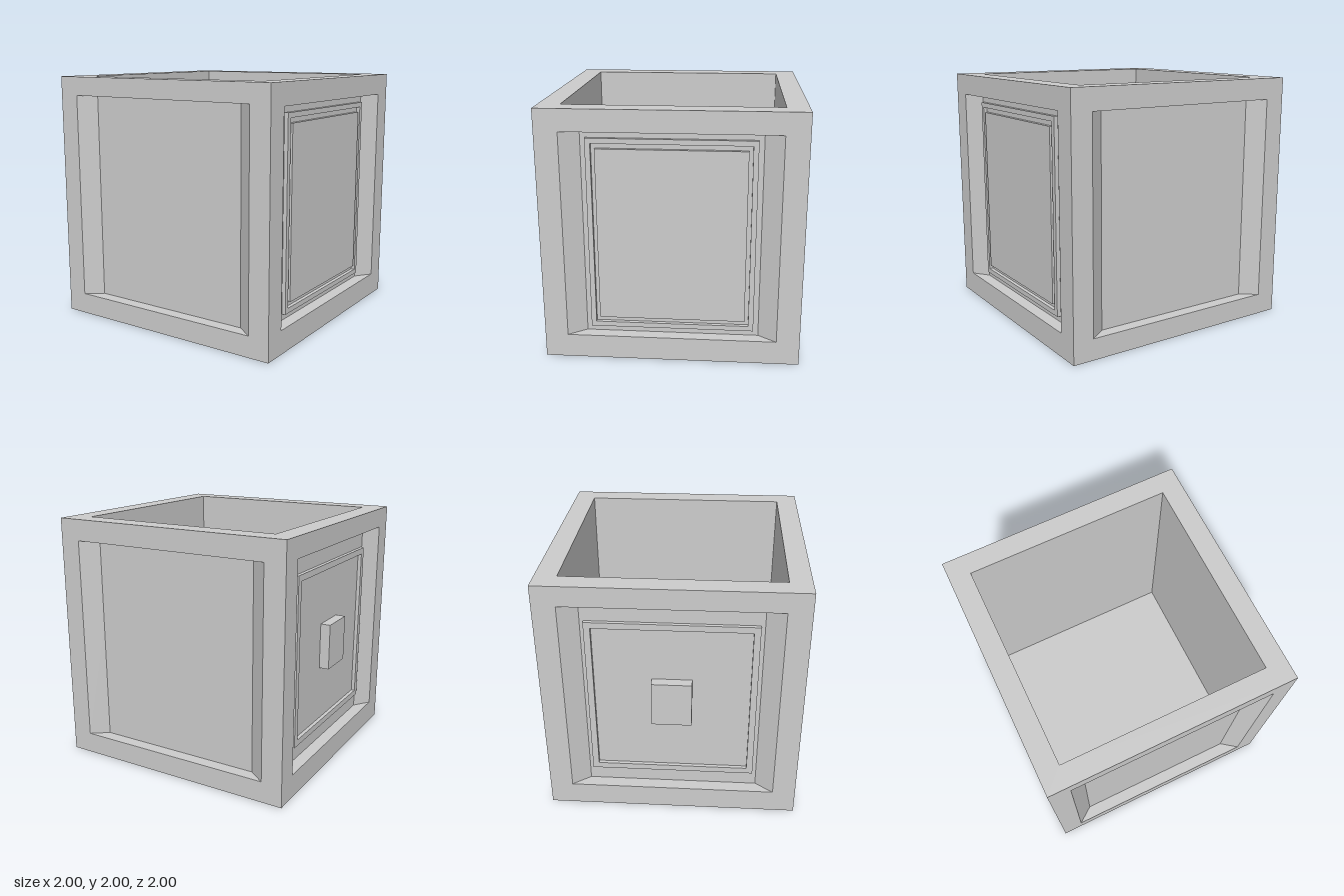
import * as THREE from 'three';

const WALL = 0.17;      // wall thickness
const RECESS = 0.1;     // depth of the sunken panels

const material = new THREE.MeshStandardMaterial({ color: 0xcccccc });

function part(parent, name, geometry) {
  const mesh = new THREE.Mesh(geometry, material);
  mesh.name = name;
  parent.add(mesh);
  return mesh;
}

function rect(Type, halfWidth, y0, y1) {
  return new Type([
    new THREE.Vector2(-halfWidth, y0), new THREE.Vector2(halfWidth, y0),
    new THREE.Vector2(halfWidth, y1), new THREE.Vector2(-halfWidth, y1),
  ]);
}

// Extrude a face from z = front back to z = back; inset(x) moves the back edges toward the middle
function slab(shape, front, back, inset = () => 0) {
  const g = new THREE.ExtrudeGeometry(shape, { depth: front - back, bevelEnabled: false });
  g.translate(0, 0, back);
  const p = g.attributes.position;
  const middle = (front + back) / 2;
  for (let i = 0; i < p.count; i++) {
    const x = p.getX(i);
    if (p.getZ(i) < middle) p.setX(i, x - Math.sign(x) * inset(Math.abs(x)));
  }
  g.computeVertexNormals();
  return g;
}

// One wall facing +z: mitred frame, splayed jambs, sunken panel
function makeWall(name, { half, inner, y0, y1 }) {
  const wall = new THREE.Group();
  wall.name = name;
  const slope = (half - inner) / RECESS;

  const frame = rect(THREE.Shape, 1, 0, 2);
  frame.holes.push(rect(THREE.Path, half, y0, y1));
  part(wall, 'frame', slab(frame, 1, 1 - WALL, x => (x > 0.95 ? WALL : slope * WALL)));

  const panel = rect(THREE.Shape, inner, y0, y1);
  part(wall, 'sunkenPanel', slab(panel, 1 - RECESS, 1 - WALL, () => slope * (WALL - RECESS)));
  return wall;
}

// Raised rectangular border on a sunken panel
function addBorder(wall, halfOuter, halfInner, yOuter, yInner) {
  const border = rect(THREE.Shape, halfOuter, yOuter[0], yOuter[1]);
  border.holes.push(rect(THREE.Path, halfInner, yInner[0], yInner[1]));
  part(wall, 'border', slab(border, 0.93, 1 - RECESS));
}

export function createModel() {
  const model = new THREE.Group();
  model.name = 'openBox';

  const front = makeWall('frontWall', { half: 0.83, inner: 0.695, y0: 0.17, y1: 1.85 });
  const back = makeWall('backWall', { half: 0.83, inner: 0.695, y0: 0.17, y1: 1.83 });
  const left = makeWall('leftWall', { half: 0.82, inner: 0.68, y0: 0.19, y1: 1.83 });
  const right = makeWall('rightWall', { half: 0.82, inner: 0.68, y0: 0.19, y1: 1.84 });
  back.rotation.y = Math.PI;
  left.rotation.y = Math.PI / 2;
  right.rotation.y = -Math.PI / 2;
  model.add(front, back, left, right);

  // Left side: border, groove and raised field
  addBorder(left, 0.64, 0.6, [0.24, 1.77], [0.28, 1.73]);
  part(left, 'raisedField', slab(rect(THREE.Shape, 0.57, 0.32, 1.69), 0.93, 1 - RECESS));

  // Right side: border with a block handle in the middle
  addBorder(right, 0.65, 0.6, [0.32, 1.68], [0.37, 1.63]);
  part(right, 'handle', slab(rect(THREE.Shape, 0.155, 0.82, 1.19), 0.98, 1 - RECESS));

  // Floor between the walls
  const inside = 2 * (1 - WALL);
  part(model, 'floor', new THREE.BoxGeometry(inside, WALL, inside)).position.y = WALL / 2;

  return model;
}
